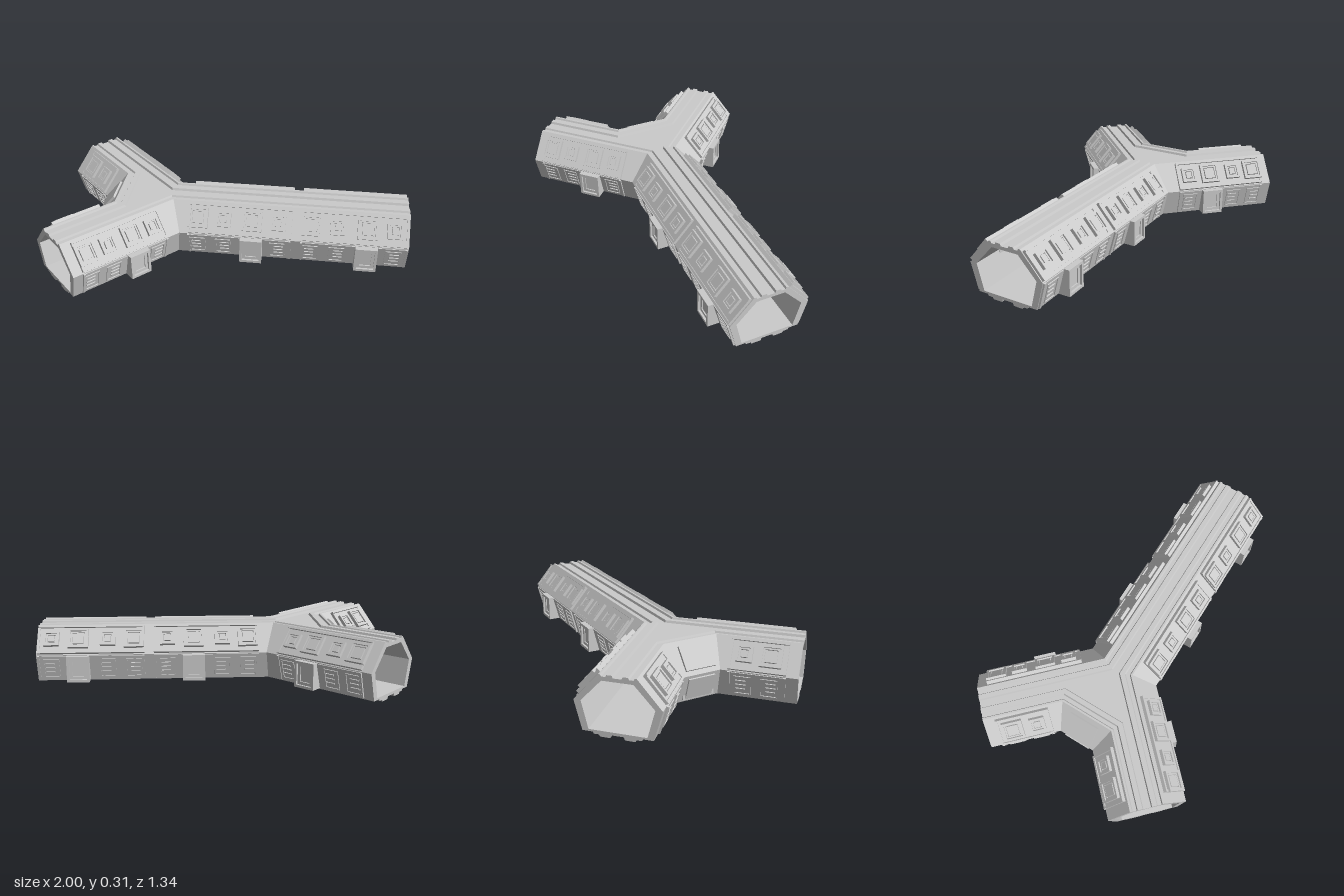
import * as THREE from 'three';

const mat = new THREE.MeshStandardMaterial({ color: 0xcccccc, flatShading: true, side: THREE.DoubleSide });
const JOIN = -0.33, END = 1.37, R2 = Math.SQRT2;

// Half cross-section [distance from axis, height]: outer shell, then inner lining
const OUTER = [[0, .298], [.02, .298], [.025, .31], [.05, .31], [.055, .3], [.075, .3], [.08, .31], [.09, .31],
  [.21, .17], [.17, .02], [.12, .02], [.115, .01], [.09, .01], [.085, 0], [.035, 0], [.03, .015], [0, .015]];
const INNER = [[0, .03], [.14, .03], [.175, .17], [.075, .28], [0, .28]];
const PROFILE = [...OUTER, ...INNER];
const TOP = [.09, .31], MID = [.21, .17], BASE = [.17, .02];

// Plan paths [x, z] at distance h from the axis
const armEnd = s => [(s - END) / 2, (s + END) / 2];
const outerPath = h => [[1, h], [JOIN + h * Math.tan(Math.PI / 8), h], armEnd(JOIN + R2 * h)];
const crotchPath = h => {
  const s = JOIN - R2 * h, x = -.52 - h;
  return [armEnd(s), [x, s - x], [x, 0]];
};

function mesh(parent, name, geometry) {
  const m = new THREE.Mesh(geometry, mat);
  m.name = name;
  parent.add(m);
  return m;
}

function fromTriangles(points) {
  const g = new THREE.BufferGeometry();
  g.setAttribute('position', new THREE.Float32BufferAttribute(points.flat(), 3));
  g.computeVertexNormals();
  return g;
}

// Sweep the profile along a mitred path and cap the open ends
function sweep(path, capIndices) {
  const at = (i, j) => {
    const [h, y] = PROFILE[i], [x, z] = path(h)[j];
    return [x, y, z];
  };
  const out = [];
  for (let i = 0; i < PROFILE.length - 1; i++) {
    if (i === OUTER.length - 1) continue;
    for (let j = 0; j < 2; j++) {
      const a = at(i, j), b = at(i, j + 1), c = at(i + 1, j + 1), d = at(i + 1, j);
      out.push(a, b, c, a, c, d);
    }
  }
  const faces = THREE.ShapeUtils.triangulateShape(PROFILE.map(p => new THREE.Vector2(...p)), []);
  for (const j of capIndices)
    for (const f of faces) {
      const tri = f.map(i => at(i, j));
      out.push(...(j === 0 ? tri.reverse() : tri));
    }
  return fromTriangles(out);
}

// Group lying on a wall face: x along the wall, y up the slope, z outward
function facePlane(parent, name, [ox, oz], [nx, nz], low, high) {
  const n = new THREE.Vector3(nx, 0, nz).normalize();
  const X = new THREE.Vector3(n.z, 0, -n.x);
  const Y = n.clone().multiplyScalar(high[0] - low[0]);
  Y.y = high[1] - low[1];
  Y.normalize();
  const g = new THREE.Group();
  new THREE.Matrix4().makeBasis(X, Y, X.clone().cross(Y))
    .setPosition(ox + n.x * low[0], low[1], oz + n.z * low[0])
    .decompose(g.position, g.quaternion, g.scale);
  g.name = name;
  parent.add(g);
  return g;
}

function box(parent, name, x, y, w, h, z0, z1) {
  mesh(parent, name, new THREE.BoxGeometry(w, h, z1 - z0)).position.set(x, y, (z0 + z1) / 2);
}

function ring(parent, name, x, y, w, h, t, z0, z1) {
  const rect = (P, a, b) => new P([[-a, -b], [a, -b], [a, b], [-a, b]].map(p => new THREE.Vector2(...p)));
  const s = rect(THREE.Shape, w / 2, h / 2);
  s.holes.push(rect(THREE.Path, w / 2 - t, h / 2 - t));
  mesh(parent, name, new THREE.ExtrudeGeometry(s, { depth: z1 - z0, bevelEnabled: false })).position.set(x, y, z0);
}

function windowUnit(p, x, big) {
  const w = big ? .108 : .082, h = big ? .112 : .086;
  ring(p, 'windowFrame', x, .09, w, h, .012, .006, .028);
  ring(p, 'windowInnerFrame', x, .09, w - .024, h - .024, .009, .006, .02);
  box(p, 'windowPane', x, .09, w - .05, h - .05, .006, .022);
}

// One wall module: sloped window panel above, service panels and an optional hatch below
function wallModule(parent, origin, n, u0, len, windows, hatch) {
  const mid = u0 + len / 2;
  const up = facePlane(parent, 'upperWall', origin, n, MID, TOP);
  box(up, 'upperPanel', mid, .092, len, .15, -.006, .01);
  box(up, 'eaveRail', mid, .012, len, .012, -.006, .016);
  box(up, 'roofRail', mid, .165, len, .01, -.006, .02);
  const low = facePlane(parent, 'lowerWall', origin, n, BASE, MID);
  box(low, 'lowerPanel', mid, .08, len, .142, -.006, .005);
  for (const e of [u0 + .006, u0 + len - .006]) {
    box(up, 'panelEdge', e, .09, .012, .16, -.006, .015);
    box(low, 'panelEdge', e, .08, .012, .145, -.006, .009);
  }
  windows.forEach(([f, big], i) => {
    const x = u0 + f * len;
    windowUnit(up, x, big);
    if (i === hatch) return;
    // Service panel with slits
    ring(low, 'servicePanel', x, .078, .085, .11, .006, 0, .01);
    for (const y of [.055, .08, .105]) box(low, 'slit', x + (i % 2 ? .008 : -.008), y, .05, .007, 0, .011);
  });
  if (hatch !== undefined) {
    const x = u0 + windows[hatch][0] * len;
    const d = facePlane(parent, 'hatch', origin, n, [.2, .025], [.2, .17]);
    ring(d, 'hatchFrame', x, .072, .12, .142, .014, -.03, .042);
    ring(d, 'hatchInnerFrame', x, .072, .092, .114, .016, -.03, .03);
    box(d, 'hatchDoor', x, .072, .06, .08, -.03, .024);
  }
}

function buildHalf() {
  const half = new THREE.Group();
  mesh(half, 'outerShell', sweep(outerPath, [0, 2]));
  mesh(half, 'forkShell', sweep(crotchPath, [0]));

  // Flat infill of roof and floor where the three corridors meet
  const infill = [];
  for (const [y, faceUp] of [[.298, 1], [.28, 0], [.03, 1], [.015, 0]]) {
    const t = [[JOIN, y, 0], [-.52, y, 0], [-.52, y, .19]];
    infill.push(...(faceUp ? t : t.reverse()));
  }
  mesh(half, 'junctionInfill', fromTriangles(infill));

  const four = [[.1, 1], [.345, 0], [.62, 1], [.87, 0]];
  wallModule(half, [0, 0], [0, 1], -.2, .57, four, 2);
  wallModule(half, [0, 0], [0, 1], .42, .575, four, 2);
  const tip = armEnd(JOIN);
  wallModule(half, tip, [1, 1], .055, .52, four, 2);
  wallModule(half, tip, [-1, -1], -.345, .285, [[.26, 0], [.72, 1]]);
  return half;
}

export function createModel() {
  const model = new THREE.Group();
  model.name = 'forkedCorridor';
  const left = buildHalf();
  left.name = 'frontHalf';
  const right = buildHalf();
  right.name = 'backHalf';
  right.scale.z = -1;
  model.add(left, right);

  // End wall between the two arms
  const slope = facePlane(model, 'forkSlope', [-.52, 0], [-1, 0], MID, TOP);
  box(slope, 'forkSlopePanel', 0, .09, .17, .13, -.006, .012);
  const wall = facePlane(model, 'forkWall', [-.52, 0], [-1, 0], BASE, MID);
  box(wall, 'forkWallPanel', 0, .078, .15, .12, -.006, .008);

  // Double door on the inner side of that wall
  const doors = facePlane(model, 'innerDoors', [-.69, 0], [1, 0], [0, .03], [0, .17]);
  box(doors, 'doorBacking', 0, .07, .18, .138, -.01, .02);
  for (const x of [-.04, .04]) {
    ring(doors, 'doorFrame', x, .07, .075, .115, .01, .02, .032);
    box(doors, 'doorLeaf', x, .07, .04, .08, .02, .03);
  }
  return model;
}
